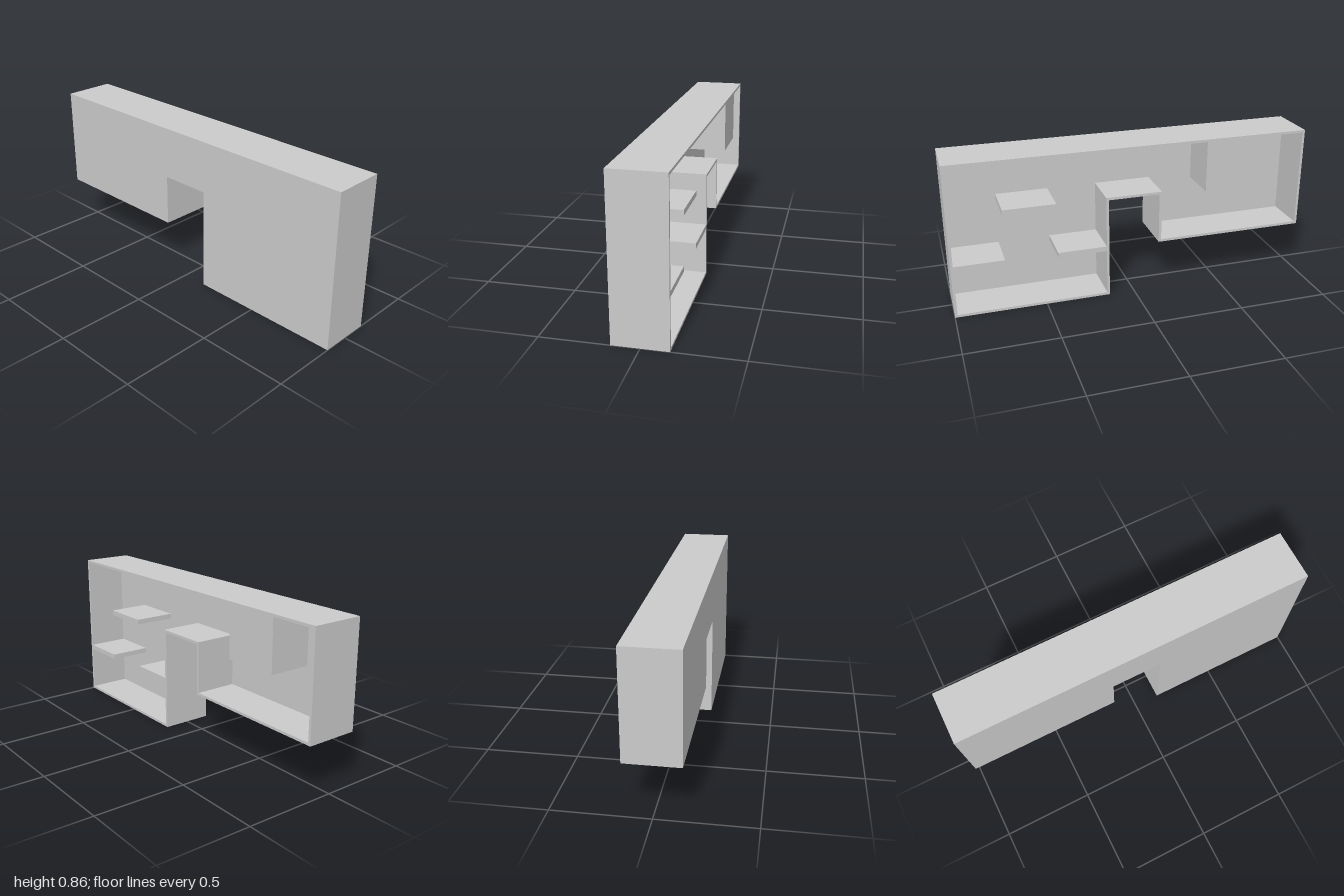
import * as THREE from 'three';

const U = 1 / 7;          // layout module
const WALL = 0.1 * U;     // rim thickness
const PANEL = 0.05;       // front panel thickness
const BACK = -U, FRONT = U;
const INNER = FRONT - PANEL;

// Stepped outline with a doorway notch, inset by t on every side
function outline(t, PathType) {
  return new PathType([
    [-7 * U + t, 2 * U + t], [-U - t, 2 * U + t], [-U - t, 4 * U + t],
    [U + t, 4 * U + t], [U + t, t], [7 * U - t, t],
    [7 * U - t, 6 * U - t], [-7 * U + t, 6 * U - t],
  ].map(([x, y]) => new THREE.Vector2(x, y)));
}

export function createModel() {
  const group = new THREE.Group();
  const material = new THREE.MeshStandardMaterial({ color: 0xcccccc, flatShading: true });

  const add = (name, geometry) => {
    const mesh = new THREE.Mesh(geometry, material);
    mesh.name = name;
    group.add(mesh);
    return mesh;
  };
  const extrude = (name, shape, z0, z1) => {
    const geometry = new THREE.ExtrudeGeometry(shape, { depth: z1 - z0, bevelEnabled: false });
    add(name, geometry.translate(0, 0, z0));
  };
  // Box from the front panel to the open back, given its x and y limits
  const innerBox = (name, x0, x1, y0, y1) => {
    const geometry = new THREE.BoxGeometry(x1 - x0, y1 - y0, INNER - BACK);
    add(name, geometry.translate((x0 + x1) / 2, (y0 + y1) / 2, (INNER + BACK) / 2));
  };

  // Front panel
  extrude('frontPanel', outline(0, THREE.Shape), INNER, FRONT);

  // Thin rim around the outline, open at the back
  const rim = outline(0, THREE.Shape);
  rim.holes.push(outline(WALL, THREE.Path));
  extrude('rim', rim, BACK, INNER);

  // Shelves on the tall side: x limits and mid height
  const shelves = [
    ['upperShelf', 3 * U, 5 * U, 4 * U],
    ['outerShelf', 5 * U, 7 * U - WALL, 2 * U],
    ['innerShelf', U + WALL, 3 * U, 2 * U],
  ];
  for (const [name, x0, x1, y] of shelves) innerBox(name, x0, x1, y - WALL, y + WALL);

  // Block hanging from the top on the short side
  innerBox('hangingBlock', -5 * U - WALL, -3 * U + WALL, 4 * U - WALL, 6 * U - WALL);

  return group;
}
